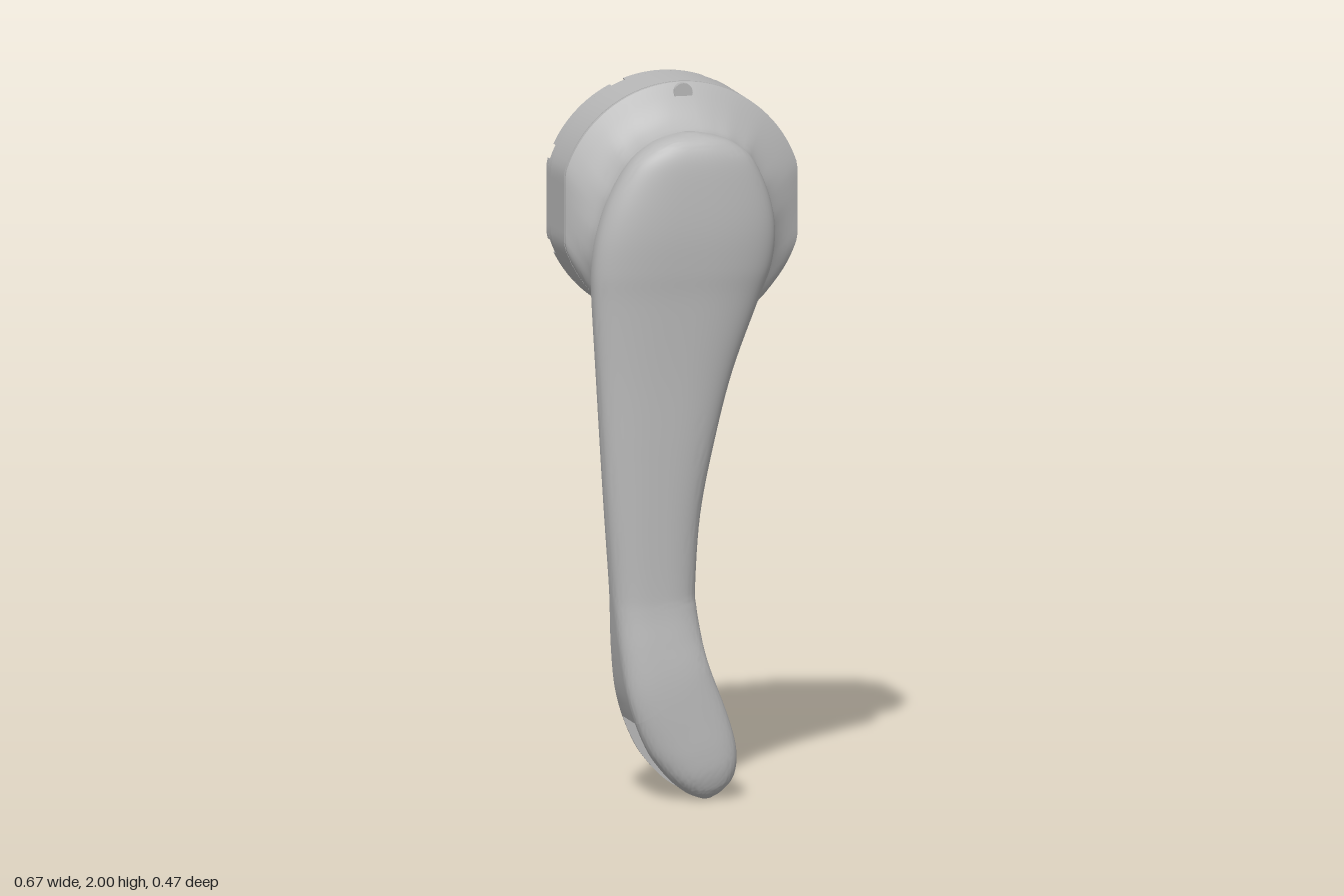
import * as THREE from 'three';
import { toCreasedNormals } from 'three/addons/utils/BufferGeometryUtils.js';

const { lerp, smoothstep } = THREE.MathUtils;
const grey = new THREE.MeshStandardMaterial({ color: 0xb8b8b8 });
grey.name = 'satin grey';

const CAP_Y = 1.65, CAP_R = 0.35, FLAT_X = 0.335, HOLLOW_R = 0.298;
const POWER = 2.6; // squareness of the arm's cross-section
const SLOT_BACK = 0.035, SLOT_FRONT = 0.175;

function add(group, name, geometry, crease = 0.6) {
  const mesh = new THREE.Mesh(toCreasedNormals(geometry, crease), grey);
  mesh.name = name;
  group.add(mesh);
}

// Skins closed rings of points and caps both ends
function loft(rings) {
  const n = rings[0].length, pos = [], index = [];
  rings.forEach(r => r.forEach(p => pos.push(p.x, p.y, p.z)));
  for (let i = 0; i < rings.length - 1; i++) {
    for (let j = 0; j < n; j++) {
      const k = (j + 1) % n, a = i * n + j, b = i * n + k;
      index.push(a, b, b + n, a, b + n, a + n);
    }
  }
  [0, rings.length - 1].forEach(e => {
    const c = new THREE.Vector3();
    rings[e].forEach(p => c.addScaledVector(p, 1 / n));
    const ci = pos.length / 3;
    pos.push(c.x, c.y, c.z);
    for (let j = 0; j < n; j++) {
      const a = e * n + j, b = e * n + (j + 1) % n;
      if (e === 0) index.push(ci, b, a); else index.push(ci, a, b);
    }
  });
  const g = new THREE.BufferGeometry();
  g.setAttribute('position', new THREE.Float32BufferAttribute(pos, 3));
  g.setIndex(index);
  return g;
}

// Arm stations, top to tip: left edge x, y, front z
const LEFT = [
  [-0.03, 1.878, 0.135], [-0.078, 1.868, 0.165], [-0.13, 1.846, 0.185], [-0.19, 1.795, 0.201],
  [-0.246, 1.7, 0.211], [-0.28, 1.6, 0.215], [-0.294, 1.5, 0.211], [-0.292, 1.4, 0.203],
  [-0.28, 1.2, 0.196], [-0.268, 1.0, 0.195], [-0.255, 0.8, 0.195], [-0.24, 0.6, 0.196],
  [-0.233, 0.52, 0.2], [-0.224, 0.42, 0.212], [-0.209, 0.31, 0.223], [-0.184, 0.22, 0.229],
  [-0.149, 0.14, 0.233], [-0.114, 0.09, 0.235], [-0.077, 0.05, 0.233], [-0.041, 0.022, 0.223],
  [-0.014, 0.009, 0.21], [0.008, 0.002, 0.194],
];
// Matching right edge x, y, back z
const RIGHT = [
  [0.01, 1.878, 0.09], [0.06, 1.868, 0.07], [0.113, 1.848, 0.055], [0.167, 1.8, 0.045],
  [0.212, 1.7, 0.035], [0.23, 1.6, 0.03], [0.22, 1.5, 0.03], [0.183, 1.4, 0.033],
  [0.108, 1.2, 0.038], [0.055, 1.0, 0.04], [0.015, 0.8, 0.04], [0, 0.6, 0.036],
  [0.001, 0.54, 0.028], [0.009, 0.47, 0.012], [0.018, 0.415, -0.002], [0.034, 0.36, -0.012],
  [0.076, 0.25, -0.018], [0.1, 0.17, -0.02], [0.106, 0.11, -0.018], [0.095, 0.06, -0.01],
  [0.065, 0.025, 0.002], [0.035, 0.006, 0.018],
];
const SLOT_STATION = 15, STEPS = 6;
const curve = pts => new THREE.CatmullRomCurve3(pts.map(p => new THREE.Vector3(...p)), false, 'catmullrom', 0.5);
const leftCurve = curve(LEFT), rightCurve = curve(RIGHT);

// Cross-section of the arm: a front and a back half with straight sides between,
// which widen to the slot's walls towards the fork
function section(i, halves) {
  const t = i / ((LEFT.length - 1) * STEPS);
  const L = leftCurve.getPoint(t), R = rightCurve.getPoint(t), mid = (L.z + R.z) / 2;
  const k = smoothstep(i / STEPS, 10.5, SLOT_STATION), ring = [];
  const bend = v => Math.sign(v) * Math.pow(Math.abs(v), 2 / POWER);
  halves.forEach(half => {
    const front = half === 'front';
    const base = lerp(mid, front ? SLOT_FRONT : SLOT_BACK, k), tip = front ? L.z : R.z;
    for (let j = 0; j <= 32; j++) {
      const a = Math.PI * j / 32, side = front ? 1 : -1;
      const s = 0.5 + 0.5 * side * bend(Math.cos(a));
      const z = lerp(base, tip, bend(Math.max(0, Math.sin(a))));
      ring.push(new THREE.Vector3(lerp(L.x, R.x, s), lerp(L.y, R.y, s), z));
    }
  });
  return ring;
}

function sections(from, to, ...halves) {
  const rings = [];
  for (let i = from; i <= to; i++) rings.push(section(i, halves));
  return rings;
}

// Edge of the arm's head at a given height
function edgeX(pts, y) {
  const i = Math.max(1, pts.findIndex(p => p[1] <= y)), a = pts[i - 1], b = pts[i];
  return lerp(a[0], b[0], THREE.MathUtils.clamp((y - a[1]) / (b[1] - a[1]), 0, 1));
}

// Point on the cap's outline: a circle with two flat sides
function capPoint(a, inset = 0) {
  const r = Math.min(CAP_R - inset, (FLAT_X - inset) / Math.max(Math.abs(Math.cos(a)), 1e-4));
  return new THREE.Vector2(r * Math.cos(a), CAP_Y + r * Math.sin(a));
}

function capOutline(inset = 0) {
  const pts = [];
  for (let i = 0; i < 96; i++) pts.push(capPoint(i / 96 * Math.PI * 2, inset));
  return new THREE.Shape(pts);
}

function slab(shape, z0, z1) {
  return new THREE.ExtrudeGeometry(shape, { depth: z1 - z0, bevelEnabled: false, curveSegments: 48 }).translate(0, 0, z0);
}

// Flared neck from the cap's outline to the arm's; a rounder fillet underneath
function neckRing(t) {
  const ring = [];
  for (let j = 0; j < 96; j++) {
    const a = j / 96 * Math.PI * 2, p = capPoint(a), s = Math.sin(a), c = Math.cos(a);
    const under = smoothstep(-s, 0, 0.8);
    const y = 1.57 + (s > 0 ? 0.304 : 0.41) * s;
    const l = edgeX(LEFT, y), r = edgeX(RIGHT, y);
    const round = s > 0 ? 1 : Math.pow(Math.abs(c), 0.4);
    const half = (r - l) / 2 * round * (0.995 - 0.32 * under);
    const x = (l + r) / 2 + (Math.abs(c) < 1e-6 ? 0 : Math.sign(c) * half);
    const flare = 1 - Math.pow(1 - Math.pow(t, 1.12), 2.6);
    const f = lerp(flare, 1 - Math.sqrt(1 - t * t), under);
    ring.push(new THREE.Vector3(lerp(p.x, x, f), lerp(p.y, y, f), lerp(-0.02, lerp(0.115, 0.046, under), t)));
  }
  return ring;
}

export function createModel() {
  const model = new THREE.Group();
  model.name = 'crankHandle';

  // Arm and the two prongs of the forked tip
  const slot = SLOT_STATION * STEPS, end = (LEFT.length - 1) * STEPS;
  add(model, 'arm', loft(sections(0, slot, 'front', 'back')), 0.8);
  add(model, 'frontProng', loft(sections(slot, end, 'front')), 0.8);
  add(model, 'backProng', loft(sections(slot, end, 'back')), 0.8);

  // Pin end on the back prong
  add(model, 'pivotPin', new THREE.CylinderGeometry(0.036, 0.036, 0.03, 32).rotateX(Math.PI / 2).translate(0.01, 0.11, -0.007));

  const neck = [];
  for (let i = 0; i <= 20; i++) neck.push(neckRing(Math.sin(i / 20 * Math.PI / 2)));
  add(model, 'neck', loft(neck), 0.8);

  // Cap with a fine groove below its lip
  add(model, 'capLip', slab(capOutline(), -0.032, -0.02));
  add(model, 'capGroove', slab(capOutline(0.006), -0.038, -0.031));
  add(model, 'capBody', slab(capOutline(), -0.185, -0.037));

  // Hollow rim at the back, with a thin lining behind the notches
  const hollow = radius => new THREE.Path().absarc(0, CAP_Y, radius, 0, Math.PI * 2, true);
  const rim = capOutline();
  rim.holes.push(hollow(HOLLOW_R));
  add(model, 'rim', slab(rim, -0.212, -0.185));
  const lining = new THREE.Shape().absarc(0, CAP_Y, HOLLOW_R + 0.014, 0, Math.PI * 2);
  lining.holes.push(hollow(HOLLOW_R));
  add(model, 'rimLining', slab(lining, -0.235, -0.212));

  // Rim teeth, leaving eight notches between them
  for (let k = 0; k < 8; k++) {
    const start = (k + 0.5) * Math.PI / 4 + 0.06, span = Math.PI / 4 - 0.12, outer = [], inner = [];
    for (let i = 0; i <= 12; i++) {
      const a = start + span * i / 12, r = HOLLOW_R + 0.013;
      outer.push(capPoint(a));
      inner.unshift(new THREE.Vector2(r * Math.cos(a), CAP_Y + r * Math.sin(a)));
    }
    add(model, 'rimTooth', slab(new THREE.Shape([...outer, ...inner]), -0.235, -0.212));
  }

  // Index mark at the top of the neck
  add(model, 'indexMark', new THREE.CylinderGeometry(0.027, 0.027, 0.03, 24).rotateX(Math.PI / 2).translate(0, 1.972, -0.014));
  return model;
}
